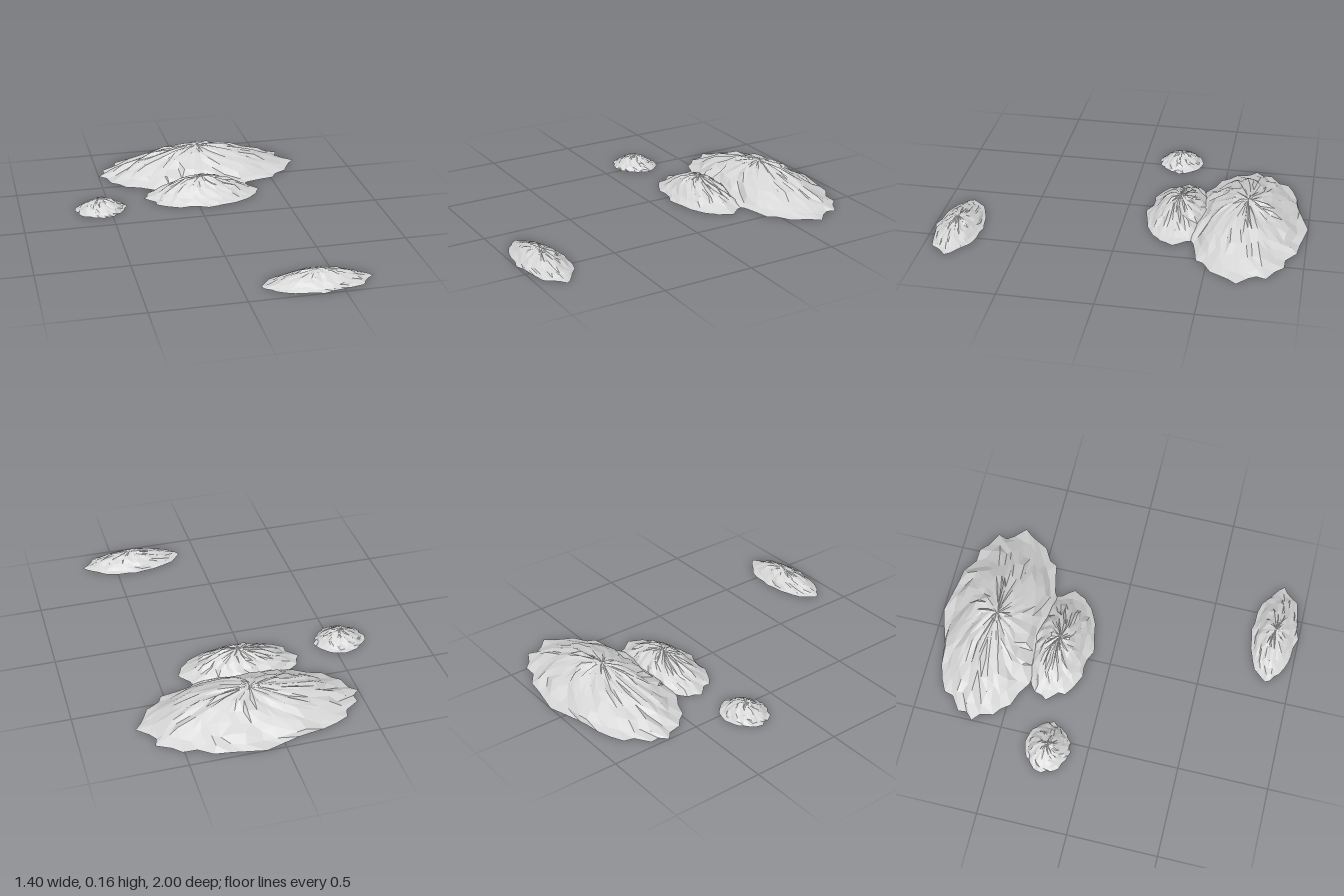
import * as THREE from 'three';

// Small seeded random source
function seeded(seed) {
  let s = seed;
  return () => {
    s = (Math.imul(s, 1664525) + 1013904223) >>> 0;
    return s / 4294967296;
  };
}

// Mound profile from peak to rim: [share of radius, share of height]
const PROFILE = [
  [0.09, 0.98], [0.25, 0.88], [0.42, 0.71], [0.58, 0.5], [0.71, 0.3], [0.83, 0.12], [0.95, 0],
];

// Open, faceted mound: jagged rings around a peak, ending in a ragged rim
function moundGeometry(rx, rz, height, segments, seed) {
  const rand = seeded(seed);
  const jitter = (amount) => (rand() * 2 - 1) * amount;
  const positions = [0, height, 0];
  const index = [];
  const last = PROFILE.length - 1;

  PROFILE.forEach(([radius, level], ring) => {
    for (let i = 0; i < segments; i++) {
      const quarter = i % (segments / 4) === 0;
      const angle = ((i + (quarter ? 0 : jitter(0.3))) / segments) * Math.PI * 2;
      let r = radius + jitter(ring === 0 ? 0.025 : 0.04);
      let y = level + jitter(ring === 0 ? 0.03 : 0.055);
      if (ring === last) {
        r = quarter ? 1 : 0.88 + rand() * 0.11;
        y = 0;
      }
      positions.push(
        Math.cos(angle) * r * rx,
        THREE.MathUtils.clamp(y, 0, 1) * height,
        Math.sin(angle) * r * rz,
      );
    }
  });

  for (let i = 0; i < segments; i++) {
    const next = (i + 1) % segments;
    index.push(0, 1 + next, 1 + i);
    for (let ring = 0; ring < last; ring++) {
      const a = 1 + ring * segments;
      const b = a + segments;
      index.push(a + i, a + next, b + i, a + next, b + next, b + i);
    }
  }

  const indexed = new THREE.BufferGeometry();
  indexed.setAttribute('position', new THREE.Float32BufferAttribute(positions, 3));
  indexed.setIndex(index);
  const geometry = indexed.toNonIndexed();
  geometry.computeVertexNormals();
  return geometry;
}

export function createModel() {
  const group = new THREE.Group();
  const paleGrey = new THREE.MeshStandardMaterial({
    color: 0xd6d6d6, flatShading: true, side: THREE.DoubleSide,
  });
  paleGrey.name = 'paleGrey';

  const mounds = [
    { name: 'largeMound', x: 0.1, z: -0.67, rx: 0.6, rz: 0.33, height: 0.155, segments: 40, seed: 11 },
    { name: 'middleMound', x: 0.05, z: -0.3, rx: 0.34, rz: 0.195, height: 0.115, segments: 36, seed: 23 },
    { name: 'smallMound', x: -0.55, z: -0.22, rx: 0.15, rz: 0.13, height: 0.066, segments: 32, seed: 37 },
    { name: 'frontMound', x: 0.395, z: 0.865, rx: 0.295, rz: 0.135, height: 0.07, segments: 32, seed: 51 },
  ];
  for (const m of mounds) {
    const mesh = new THREE.Mesh(moundGeometry(m.rx, m.rz, m.height, m.segments, m.seed), paleGrey);
    mesh.name = m.name;
    mesh.position.set(m.x, 0, m.z);
    group.add(mesh);
  }
  return group;
}
